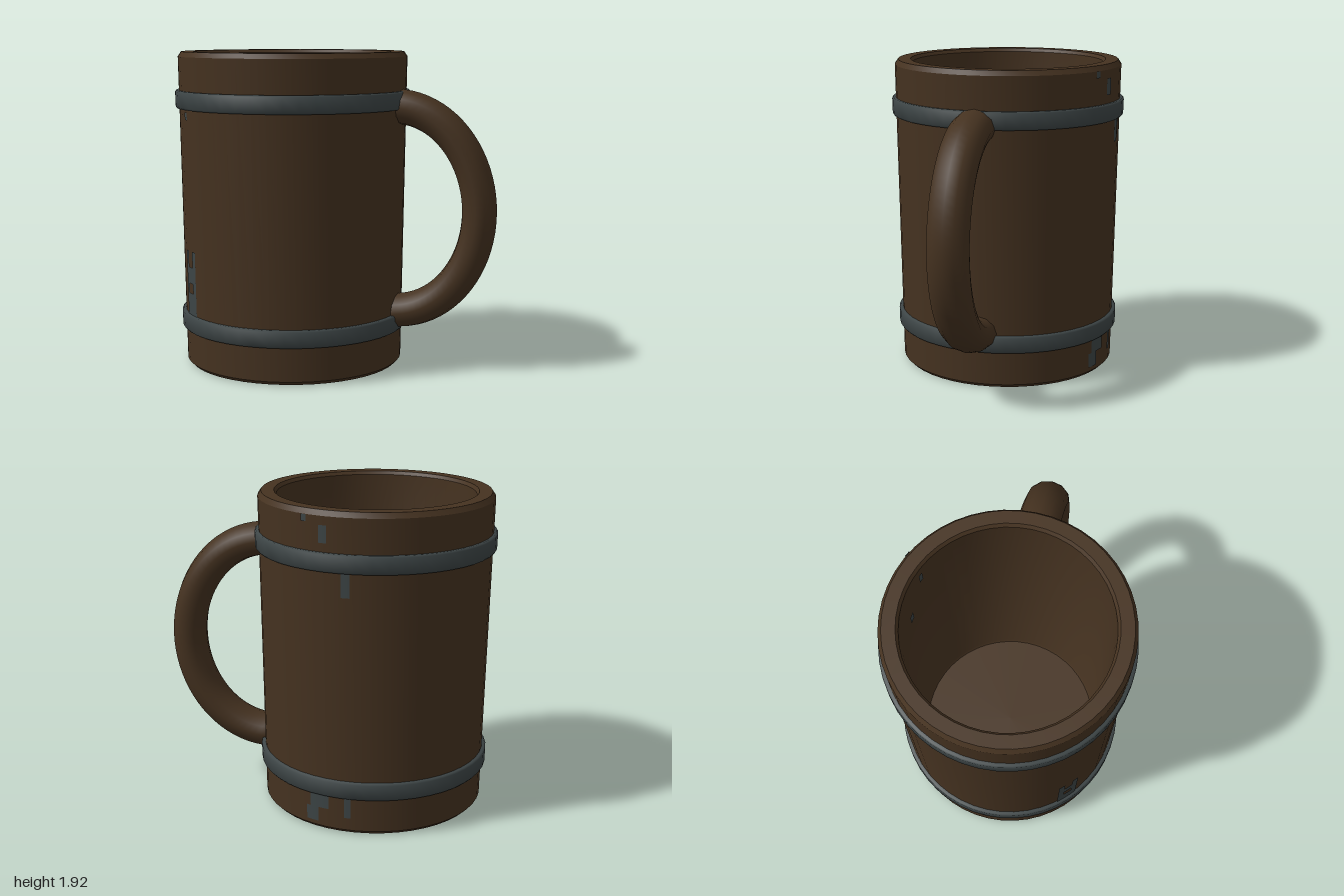
import * as THREE from 'three';
import { toCreasedNormals } from 'three/addons/utils/BufferGeometryUtils.js';

const CX = -0.28; // axis of the cup

export function createModel() {
  const group = new THREE.Group();
  const wood = new THREE.MeshStandardMaterial({ color: 0x453220 });
  wood.name = 'darkWood';
  const iron = new THREE.MeshStandardMaterial({ color: 0x3d4546, side: THREE.DoubleSide });
  iron.name = 'greyIron';

  const add = (name, geometry, material, x = 0, y = 0) => {
    const mesh = new THREE.Mesh(geometry, material);
    mesh.name = name;
    mesh.position.set(x, y, 0);
    group.add(mesh);
  };
  const lathe = (points, crease) => toCreasedNormals(
    new THREE.LatheGeometry(points.map(([r, y]) => new THREE.Vector2(r, y)), 48), crease);

  // Cup: recessed base, tapered wall, chamfered rim, hollow inside
  add('cup', lathe([
    [0, 0.015], [0.555, 0.015], [0.56, 0], [0.65, 0], [0.672, 0.022],
    [0.702, 1.89], [0.682, 1.92], [0.605, 1.92], [0.59, 1.9],
    [0.56, 0.17], [0.55, 0.15], [0, 0.15],
  ], 0.5), wood, CX);

  // Hoops around the cup
  const hoop = (name, y, height, rBottom, rTop) => add(name, lathe([
    [0.66, 0], [rBottom - 0.008, 0], [rBottom, 0.01],
    [rTop, height - 0.01], [rTop - 0.008, height], [0.66, height], [0.66, 0],
  ], 1), iron, CX, y);
  hoop('upperHoop', 1.58, 0.108, 0.72, 0.722);
  hoop('lowerHoop', 0.228, 0.106, 0.699, 0.701);

  // Handle: half-ellipse path with an oval section
  const STEPS = 40, SIDES = 12;
  const positions = [], index = [];
  for (let i = 0; i <= STEPS; i++) {
    const a = Math.PI / 2 - (Math.PI * i) / STEPS;
    const px = 0.375 + 0.52 * Math.cos(a), py = 0.97 + 0.625 * Math.sin(a);
    const n = new THREE.Vector2(0.625 * Math.cos(a), 0.52 * Math.sin(a)).normalize();
    for (let j = 0; j < SIDES; j++) {
      const b = (j / SIDES) * Math.PI * 2;
      const out = 0.105 * Math.cos(b);
      positions.push(px + n.x * out, py + n.y * out, 0.125 * Math.sin(b));
      if (i < STEPS) {
        const k = (j + 1) % SIDES;
        const p = i * SIDES + j, q = i * SIDES + k;
        index.push(p, q, p + SIDES, q, q + SIDES, p + SIDES);
      }
    }
  }
  // End caps
  for (let j = 1; j < SIDES - 1; j++) {
    const e = STEPS * SIDES;
    index.push(0, j + 1, j, e, e + j, e + j + 1);
  }
  const handle = new THREE.BufferGeometry();
  handle.setAttribute('position', new THREE.Float32BufferAttribute(positions, 3));
  handle.setIndex(index);
  add('handle', toCreasedNormals(handle, 0.8), wood);

  // Thin grey flecks on the wall: angle, angular width, bottom, top, inside
  const flecks = [
    [-0.86, 0.06, 0.33, 0.73], [-0.72, 0.06, 0.33, 0.73], [-0.79, 0.08, 0.33, 0.47],
    [-0.79, 0.08, 0.53, 0.63], [-0.79, 0.05, 1.52, 1.565],
    [2.82, 0.18, 0.14, 0.23], [2.75, 0.12, 0.05, 0.14], [3.08, 0.06, 0.1, 0.23],
    [3.06, 0.075, 1.44, 1.58], [2.87, 0.07, 1.74, 1.84], [2.7, 0.05, 1.85, 1.89],
    [2.77, 0.05, 1.77, 1.85, true], [3.04, 0.07, 1.52, 1.6, true],
  ];
  for (const [angle, width, y0, y1, inside] of flecks) {
    const r = (y) => (inside ? 0.557 + 0.0173 * y - 0.006 : 0.672 + 0.016 * y + 0.004);
    add('fleck', new THREE.CylinderGeometry(r(y1), r(y0), y1 - y0, 3, 1, true, angle - width / 2, width),
      iron, CX, (y0 + y1) / 2);
  }
  return group;
}
